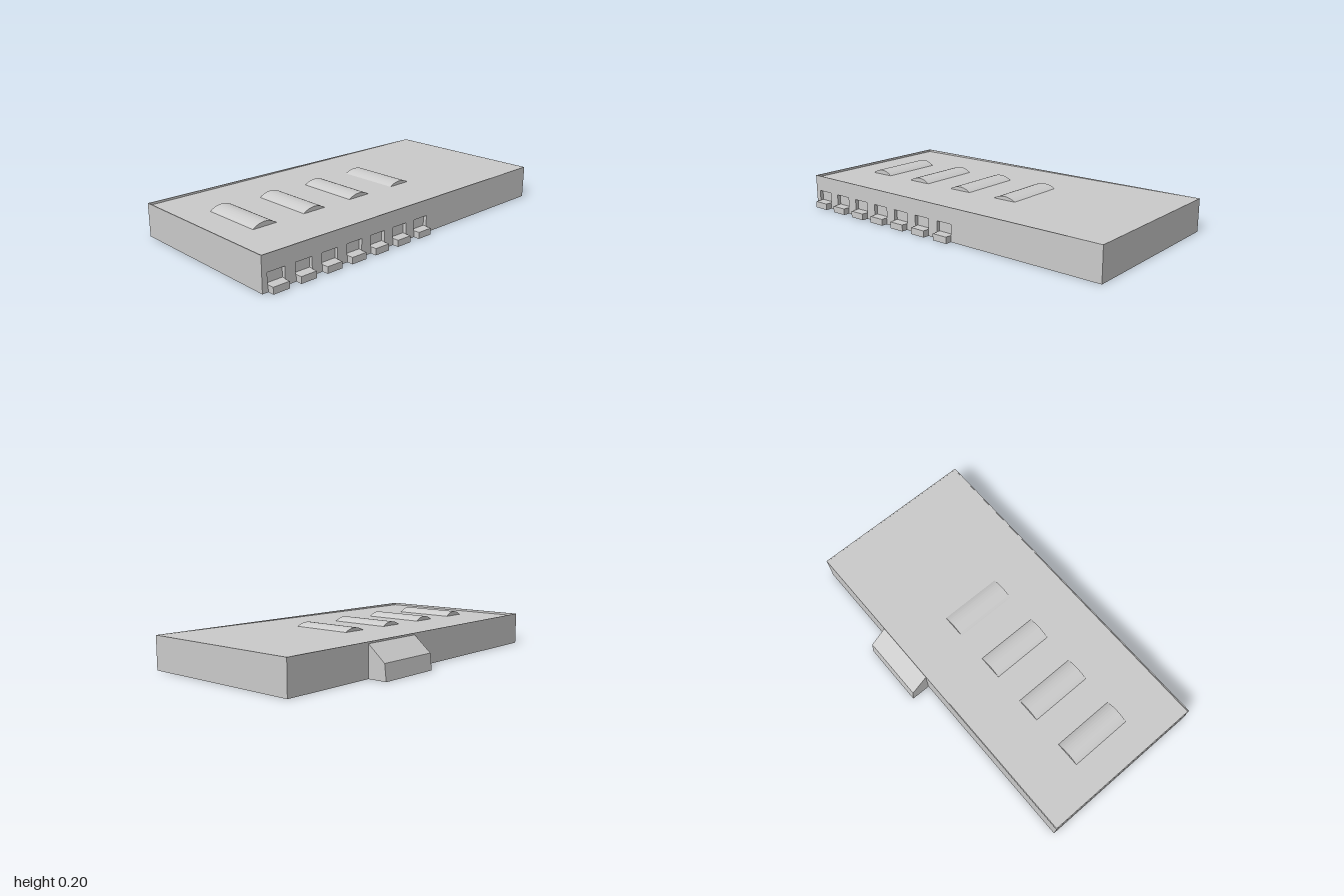
import * as THREE from 'three';

const material = new THREE.MeshStandardMaterial({ color: 0xcccccc, flatShading: true });
const smooth = new THREE.MeshStandardMaterial({ color: 0xcccccc });

// Box given by its minimum and maximum corners
function box(name, [x0, y0, z0], [x1, y1, z1]) {
  const mesh = new THREE.Mesh(new THREE.BoxGeometry(x1 - x0, y1 - y0, z1 - z0), material);
  mesh.position.set((x0 + x1) / 2, (y0 + y1) / 2, (z0 + z1) / 2);
  mesh.name = name;
  return mesh;
}

function rect(x0, y0, x1, y1, Type = THREE.Shape) {
  return new Type([[x0, y0], [x1, y0], [x1, y1], [x0, y1]].map(p => new THREE.Vector2(...p)));
}

export function createModel() {
  const model = new THREE.Group();
  model.name = 'warehouse';
  const left = -0.445, right = 0.52, top = 0.185, eave = 0.15, rim = 0.005, recess = 0.02;
  const doors = Array.from({ length: 7 }, (_, i) => 0.92 - i * 0.161);

  // Main hall
  model.add(box('hall', [left, 0, -1], [right - recess, eave, 1]));

  // Loading wall with recessed dock doors
  const wall = rect(-1, 0, 1, eave);
  for (const z of doors) wall.holes.push(rect(-z - 0.05, 0.036, -z + 0.05, 0.096, THREE.Path));
  const wallGeometry = new THREE.ExtrudeGeometry(wall, { depth: recess, bevelEnabled: false });
  wallGeometry.rotateY(Math.PI / 2);
  const loadingWall = new THREE.Mesh(wallGeometry, material);
  loadingWall.position.x = right - recess;
  loadingWall.name = 'loadingWall';
  model.add(loadingWall);

  // Dock platforms
  for (const z of doors) {
    model.add(box('dockPlatform', [right, 0, z - 0.047], [right + 0.036, 0.036, z + 0.047]));
  }

  // Thin parapet around the roof
  model.add(
    box('parapetFront', [left, eave, 1 - rim], [right, top, 1]),
    box('parapetBack', [left, eave, -1], [right, top, -1 + rim]),
    box('parapetLeft', [right - rim, eave, -1 + rim], [right, top, 1 - rim]),
    box('parapetRight', [left, eave, -1 + rim], [left + rim, top, 1 - rim])
  );

  // Roof deck, sloping gently down towards the front
  const roofAt = z => 0.1783 - 0.0062 * z;
  const deck = box('roofDeck', [left + rim, eave, -1 + rim], [right - rim, top, 1 - rim]);
  const corners = deck.geometry.attributes.position;
  for (let i = 0; i < corners.count; i++) {
    if (corners.getY(i) > 0) corners.setY(i, roofAt(corners.getZ(i)) - deck.position.y);
  }
  deck.geometry.computeVertexNormals();
  model.add(deck);

  // Arched skylights
  for (const z of [-0.205, 0.112, 0.43, 0.747]) {
    const base = roofAt(z) - 0.005;
    const arch = new THREE.Shape();
    arch.moveTo(-0.077, 0);
    arch.lineTo(0.077, 0);
    arch.bezierCurveTo(0.035, (0.199 - base) * 4 / 3, -0.035, (0.199 - base) * 4 / 3, -0.077, 0);
    const geometry = new THREE.ExtrudeGeometry(arch, { depth: 0.36, bevelEnabled: false, curveSegments: 12 });
    geometry.rotateY(Math.PI / 2);
    const skylight = new THREE.Mesh(geometry, smooth);
    skylight.position.set(-0.14, base, z);
    skylight.name = 'skylight';
    model.add(skylight);
  }

  // Side office with a sloping roof
  const profile = new THREE.Shape([[left, 0], [left, 0.175], [-0.546, 0.09], [-0.556, 0]]
    .map(p => new THREE.Vector2(...p)));
  const office = new THREE.Mesh(
    new THREE.ExtrudeGeometry(profile, { depth: 0.377, bevelEnabled: false }), material);
  office.position.z = -0.452;
  office.name = 'sideOffice';
  model.add(office);

  return model;
}
